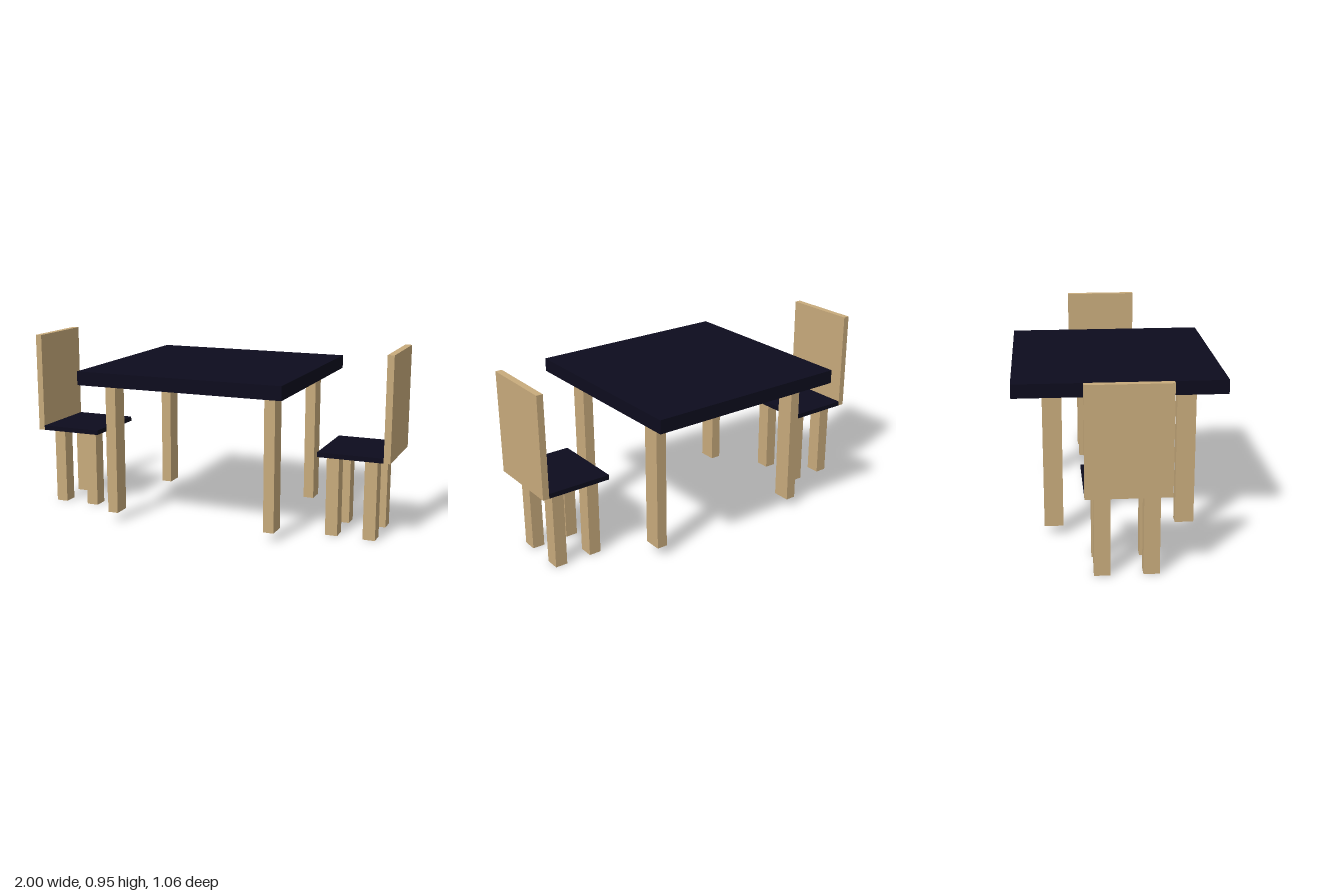
import * as THREE from 'three';

const wood = new THREE.MeshStandardMaterial({ color: 0xc8ab7c });
const dark = new THREE.MeshStandardMaterial({ color: 0x0d0c1e });
// Dark surface with a bare wooden underside (box face order: +x -x +y -y +z -z)
const darkTop = [dark, dark, dark, wood, dark, dark];

// Box given by its min/max extents on each axis
function box(name, [x0, x1], [y0, y1], [z0, z1], material) {
  const mesh = new THREE.Mesh(new THREE.BoxGeometry(x1 - x0, y1 - y0, z1 - z0), material);
  mesh.position.set((x0 + x1) / 2, (y0 + y1) / 2, (z0 + z1) / 2);
  mesh.name = name;
  return mesh;
}

// Legs at every combination of the given x and z centres
function addLegs(group, name, xs, zs, width, depth, y) {
  for (const x of xs) for (const z of zs) {
    group.add(box(name, [x - width / 2, x + width / 2], y, [z - depth / 2, z + depth / 2], wood));
  }
}

function createTable() {
  const table = new THREE.Group();
  table.name = 'table';
  table.add(box('tableTop', [-0.548, 0.548], [0.757, 0.828], [-0.529, 0.529], darkTop));
  addLegs(table, 'tableLeg', [-0.441, 0.438], [-0.332, 0.334], 0.056, 0.096, [0.05, 0.757]);
  return table;
}

// Chair on the +x side, facing the table
function createChair(name) {
  const chair = new THREE.Group();
  chair.name = name;
  chair.add(box('seat', [0.628, 0.966], [0.418, 0.443], [-0.2, 0.2], darkTop));
  chair.add(box('backrest', [0.966, 1], [0.418, 0.953], [-0.2, 0.2], wood));
  addLegs(chair, 'chairLeg', [0.698, 0.895], [-0.115, 0.117], 0.064, 0.077, [0, 0.418]);
  return chair;
}

export function createModel() {
  const model = new THREE.Group();
  model.name = 'diningSet';
  const leftChair = createChair('leftChair');
  const rightChair = createChair('rightChair');
  rightChair.rotation.y = Math.PI;
  model.add(createTable(), leftChair, rightChair);
  return model;
}
